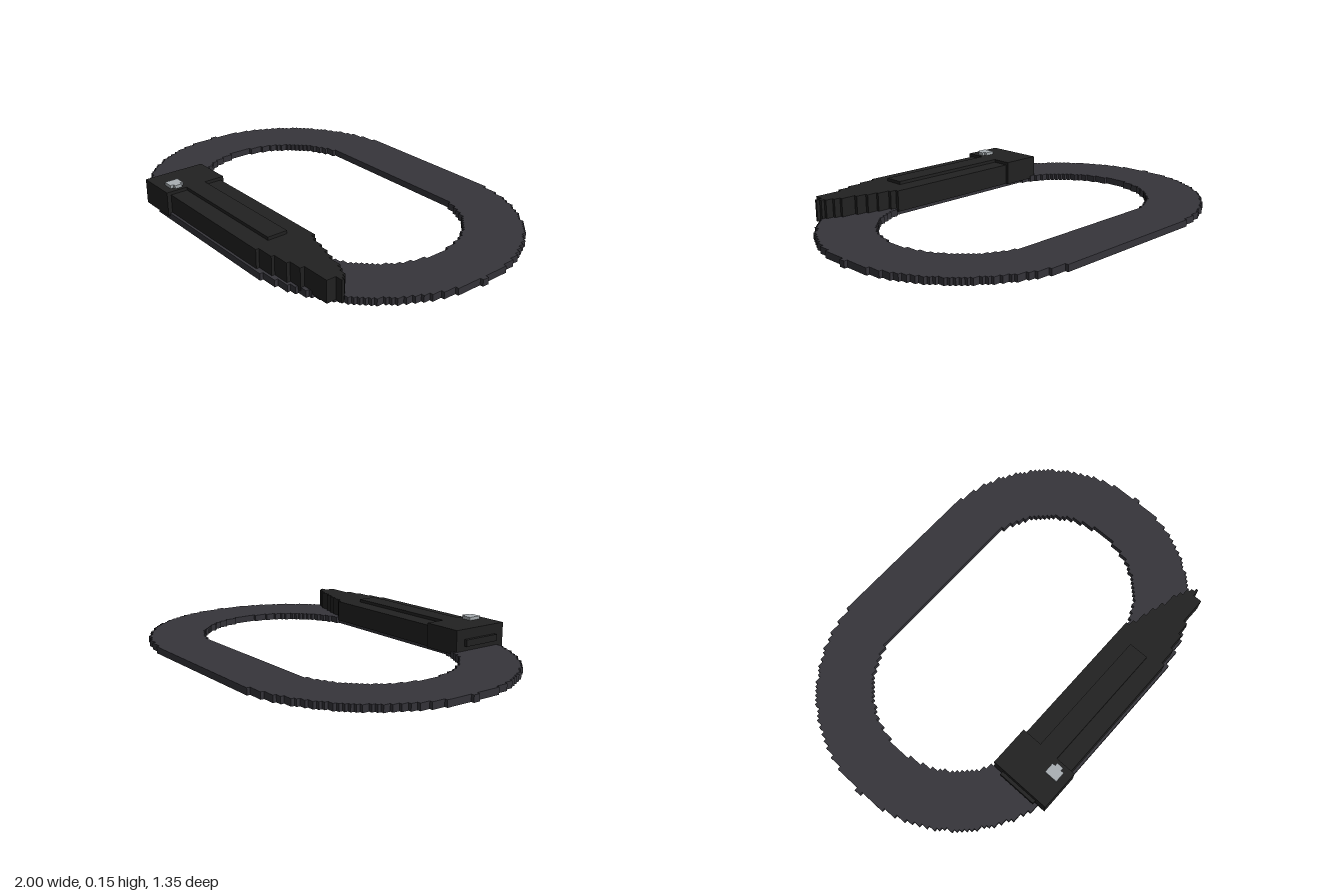
import * as THREE from 'three';

const STEP = 1 / 64;

// Closed stair-stepped stadium outline: two half circles of radius r, centres at +-cx
function steppedStadium(r, cx) {
  const rows = Math.round(r / STEP);
  const right = [];
  for (let i = -rows; i < rows; i++) {
    const mid = (i + 0.5) * STEP;
    const reach = cx + Math.sqrt(Math.max(0, r * r - mid * mid));
    const x = Math.floor(reach / STEP) * STEP;
    const last = right[right.length - 1];
    if (last && last.x === x) last.y = (i + 1) * STEP;
    else right.push(new THREE.Vector2(x, i * STEP), new THREE.Vector2(x, (i + 1) * STEP));
  }
  const left = right.map(p => new THREE.Vector2(-p.x, p.y)).reverse();
  return [...right, ...left];
}

// Extrudes a plan drawn as (x, -z) upward from y0 to y1
function slab(shape, y0, y1) {
  const geo = new THREE.ExtrudeGeometry(shape, { depth: y1 - y0, bevelEnabled: false });
  geo.rotateX(-Math.PI / 2);
  geo.translate(0, y0, 0);
  return geo;
}

export function createModel() {
  const group = new THREE.Group();
  const ringGrey = new THREE.MeshStandardMaterial({ name: 'charcoal ring', color: 0x36353b });
  const black = new THREE.MeshStandardMaterial({ name: 'black casing', color: 0x222222 });
  const silver = new THREE.MeshStandardMaterial({ name: 'silver button', color: 0xaab0b4 });

  const add = (name, geo, mat) => {
    const mesh = new THREE.Mesh(geo, mat);
    mesh.name = name;
    group.add(mesh);
    return mesh;
  };
  const block = (name, mat, x0, x1, y0, y1, z0, z1) => {
    const mesh = add(name, new THREE.BoxGeometry(x1 - x0, y1 - y0, z1 - z0), mat);
    mesh.position.set((x0 + x1) / 2, (y0 + y1) / 2, (z0 + z1) / 2);
  };

  // Flat oval ring with stepped edges
  const oval = new THREE.Shape(steppedStadium(0.6702, 0.33));
  oval.holes.push(new THREE.Path(steppedStadium(0.41, 0.33)));
  add('ring', slab(oval, 0, 0.032), ringGrey).position.z = -0.005;

  // Casing that narrows in steps: each entry is [end x, z] along one side
  const inner = [[0.41, 0.39], [0.44, 0.408], [0.5, 0.424], [0.55, 0.437], [0.6, 0.453],
    [0.67, 0.47], [0.7, 0.485], [0.735, 0.5], [0.75, 0.515], [0.765, 0.53]];
  const outer = [[0.365, 0.655], [0.45, 0.64], [0.53, 0.625], [0.595, 0.608],
    [0.73, 0.587], [0.765, 0.542]];
  const side = list => {
    const pts = [];
    let x = -0.31;
    for (const [end, z] of list) {
      pts.push(new THREE.Vector2(x, -z), new THREE.Vector2(end, -z));
      x = end;
    }
    return pts;
  };
  const plan = new THREE.Shape([...side(outer), ...side(inner).reverse()]);
  add('casing', slab(plan, 0.018, 0.12), black);

  // Raised rib, head block and its end plate
  block('rib', black, -0.31, 0.333, 0.115, 0.135, 0.475, 0.572);
  block('head', black, -0.5, -0.303, 0.018, 0.135, 0.375, 0.675);
  block('endPlate', black, -0.516, -0.495, 0.055, 0.087, 0.425, 0.62);

  // Button with a small side tab
  block('button', silver, -0.385, -0.335, 0.13, 0.15, 0.573, 0.638);
  block('buttonTab', silver, -0.34, -0.32, 0.13, 0.15, 0.588, 0.622);

  return group;
}
